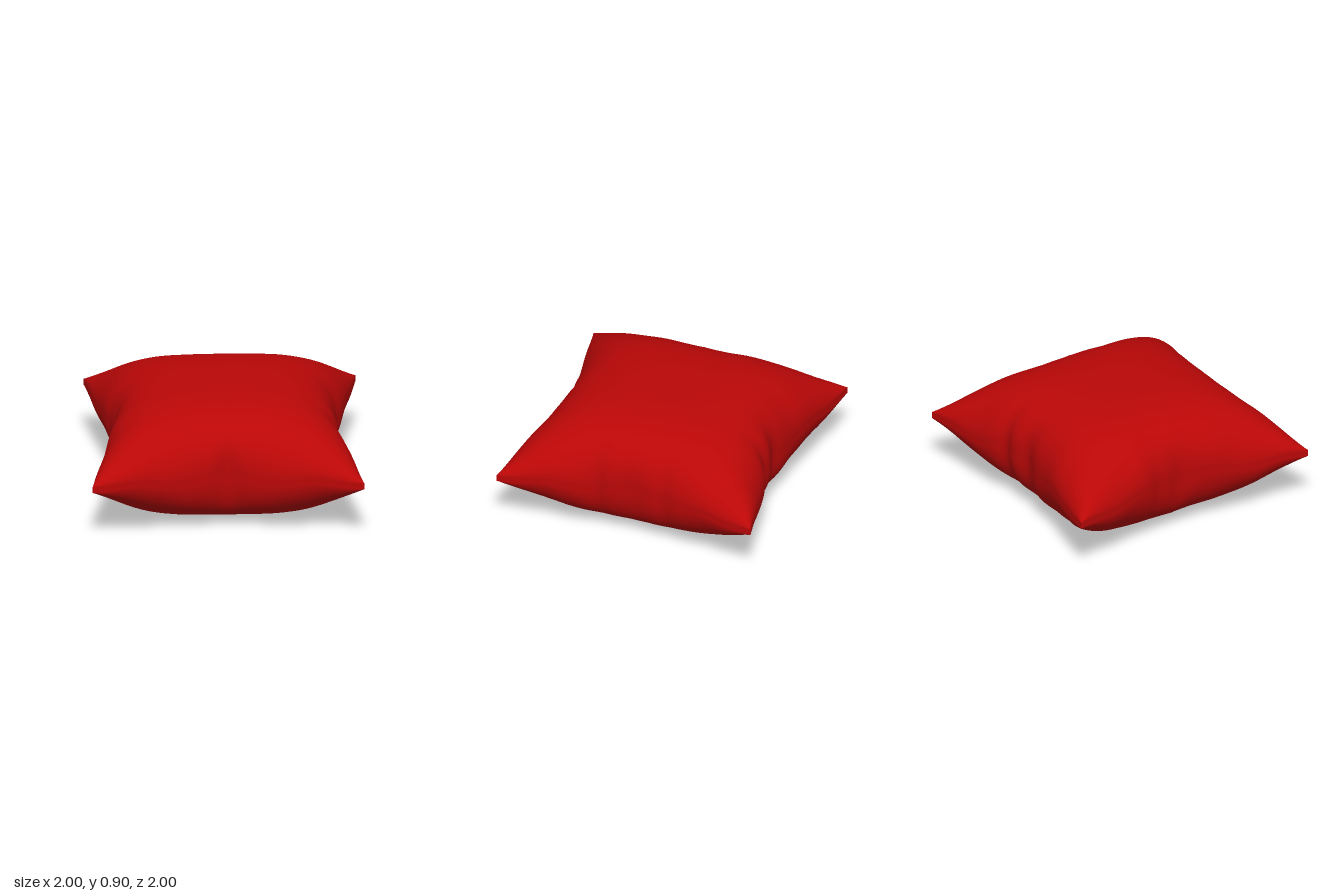
import * as THREE from 'three';
import { mergeVertices } from 'three/addons/utils/BufferGeometryUtils.js';

const MID = 0.455;   // height of the seam
const RIM = 0.025;   // half thickness at the seam
const PUFF = 0.425;  // how far each face swells beyond the rim

// Puckers along each edge: [position, depth, width]
const puckers = {
  front: [[0, 0.035, 0.08], [-0.24, 0.005, 0.12], [0.2, 0.005, 0.1]],
  back: [[0.02, 0.03, 0.09], [0.27, 0.04, 0.07], [-0.3, 0.005, 0.1]],
  left: [[0.28, 0.035, 0.07], [-0.24, 0.022, 0.08], [0.02, 0.01, 0.12]],
  right: [[0, 0.025, 0.12], [-0.2, 0.015, 0.07], [0.2, 0.01, 0.09]],
};

const gather = (list, t) =>
  list.reduce((sum, [p, depth, w]) => sum + depth * Math.exp(-(((t - p) / w) ** 2)), 0);

// Inward curve of an edge, deepest at its middle
const inset = (t) => 0.195 * (1.005 - Math.sqrt(t * t + 0.01));

// Pull a coordinate in from its edge; puckers fade towards the middle
function pullIn(a, t, list) {
  const s = Math.abs(a);
  return a * (1 - Math.max(0, inset(t)) * s - gather(list, t) * s ** 6);
}

function createCushionGeometry(n) {
  const box = new THREE.BoxGeometry(2, 2, 2, n, 1, n);
  box.deleteAttribute('uv');
  box.deleteAttribute('normal');
  const geo = mergeVertices(box, 1e-4);
  const pos = geo.attributes.position;
  for (let i = 0; i < pos.count; i++) {
    // crowd the grid lines towards the seam, where the cloth curves most
    const u = Math.sin((pos.getX(i) * Math.PI) / 2);
    const v = Math.sin((pos.getZ(i) * Math.PI) / 2);
    const side = Math.sign(pos.getY(i));

    const x = pullIn(u, v, u > 0 ? puckers.left : puckers.right);
    const z = pullIn(v, u, v > 0 ? puckers.front : puckers.back);

    // full along the middle of each edge, running straight to a point at every corner
    const fu = Math.max(0, 1 - Math.abs(u) ** 3.5);
    const fv = Math.max(0, 1 - Math.abs(v) ** 3.5);
    const dome = 1 - 0.08 * (u * u + v * v);
    const w = Math.abs(u * v);
    const swell = dome * (fu * fv) ** (0.4 + 0.5 * w - 0.33 * w * w);

    // wandering seam and soft folds, only near the edges and away from corners
    const edgeU = Math.abs(u) ** 8 * fv;
    const edgeV = Math.abs(v) ** 8 * fu;
    const sway = 0.02 * edgeV * Math.sin(9 * u + 0.6 + v) + 0.02 * edgeU * Math.sin(10 * v + u);
    const fold = 0.012 * (edgeV * Math.sin(21 * u + 2 * v) + edgeU * Math.sin(19 * v - 2 * u)) * swell;

    pos.setXYZ(i, x, MID + side * (RIM + PUFF * swell + fold) + sway, z);
  }
  geo.computeVertexNormals();
  return geo;
}

export function createModel() {
  const group = new THREE.Group();
  group.name = 'cushion';
  const cloth = new THREE.MeshStandardMaterial({ color: 0xbb0707 });
  const cover = new THREE.Mesh(createCushionGeometry(96), cloth);
  cover.name = 'cushionCover';
  group.add(cover);
  return group;
}
